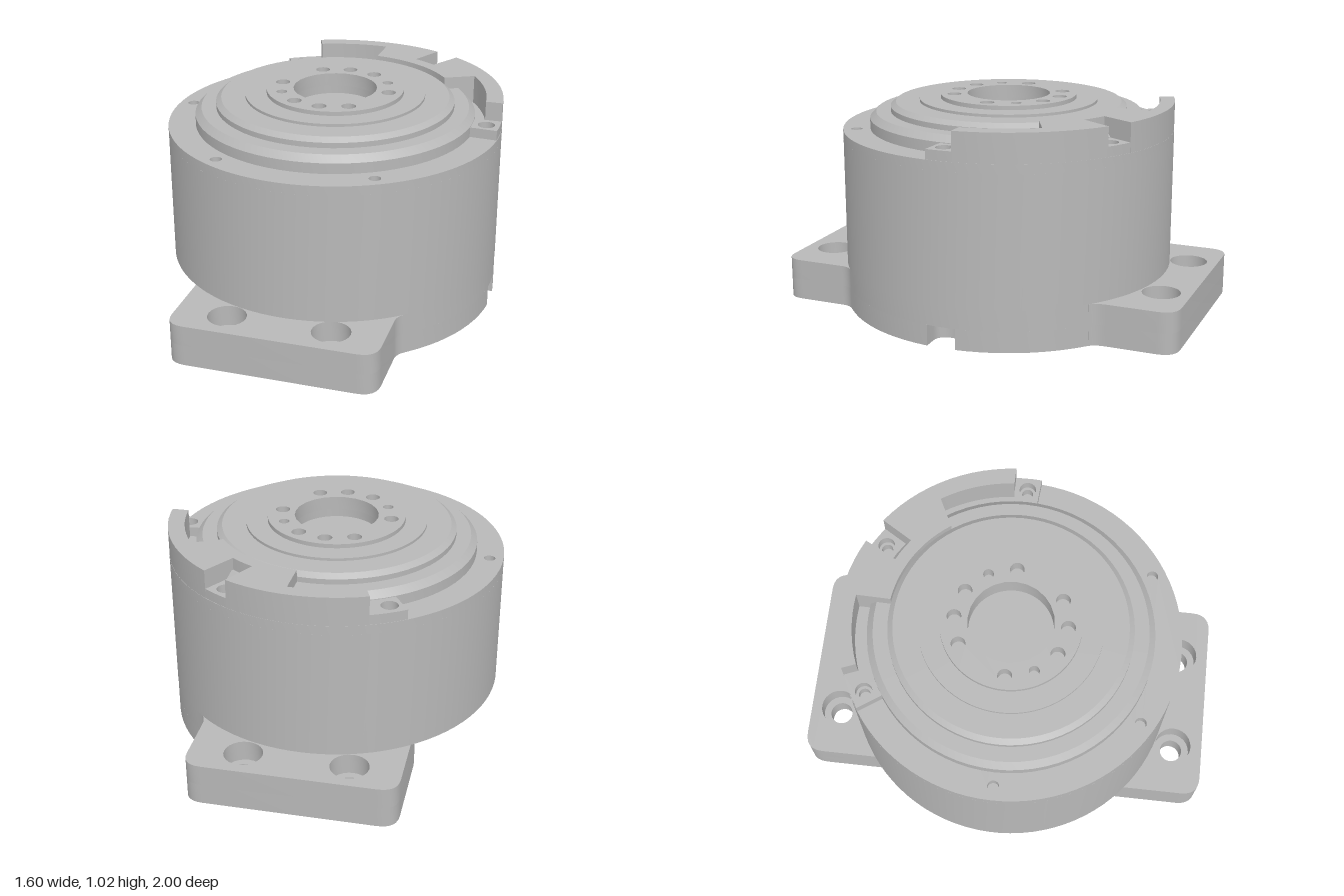
import * as THREE from 'three';
import { toCreasedNormals } from 'three/addons/utils/BufferGeometryUtils.js';

const metal = new THREE.MeshStandardMaterial({ color: 0xb8b8b8 });
metal.name = 'grey metal';

const rad = THREE.MathUtils.degToRad;
const polar = (r, deg) => new THREE.Vector2(r * Math.cos(rad(deg)), r * Math.sin(rad(deg)));

// Points along an arc, in plan (plan y is -z)
function arc(r, from, to) {
  const n = Math.max(2, Math.ceil(Math.abs(to - from) / 4));
  return Array.from({ length: n + 1 }, (_, i) => polar(r, from + ((to - from) * i) / n));
}

// Quarter-like rounded corner from a to b around control point c
function corner(ax, ay, cx, cy, bx, by) {
  return new THREE.QuadraticBezierCurve(
    new THREE.Vector2(ax, ay), new THREE.Vector2(cx, cy), new THREE.Vector2(bx, by)).getPoints(6);
}

// Upright slab from a plan outline, with round holes [x, planY, radius]
function slab(name, outline, y0, y1, holes = []) {
  const shape = new THREE.Shape(outline);
  for (const [x, y, r] of holes) {
    const hole = new THREE.Path();
    hole.absarc(x, y, r, 0, Math.PI * 2, true);
    shape.holes.push(hole);
  }
  const g = new THREE.ExtrudeGeometry(shape, { depth: y1 - y0, bevelEnabled: false, curveSegments: 12 });
  g.rotateX(-Math.PI / 2);
  g.translate(0, y0, 0);
  return solid(name, g);
}

function solid(name, geometry) {
  const mesh = new THREE.Mesh(toCreasedNormals(geometry, rad(25)), metal);
  mesh.name = name;
  return mesh;
}

const circle = (r) => arc(r, 0, 360).slice(0, -1);
const sector = (r0, r1, a, b) => [...arc(r1, a, b), ...arc(r0, b, a)];

// C-shaped foot with a wing at front and back; the +x edge follows the drum
function footOutline(side) {
  return [
    ...side,
    ...corner(0.525, 0.604, 0.5, 0.625, 0.5, 0.68),
    ...corner(0.5, 0.91, 0.5, 1, 0.41, 1),
    ...corner(-0.39, 1, -0.48, 1, -0.48, 0.91),
    ...corner(-0.48, 0.52, -0.48, 0.44, -0.42, 0.42),
    ...arc(0.58, 135, -135),
    ...corner(-0.42, -0.42, -0.5, -0.44, -0.5, -0.52),
    ...corner(-0.5, -0.91, -0.5, -1, -0.41, -1),
    ...corner(0.39, -1, 0.48, -1, 0.48, -0.91),
    ...corner(0.48, -0.68, 0.48, -0.64, 0.515, -0.612),
  ];
}

export function createModel() {
  const model = new THREE.Group();
  model.name = 'rotaryUnit';

  const mounts = [[-0.24, 0.86], [0.25, 0.86], [-0.255, -0.855], [0.235, -0.855]];
  const bolts = [0, 60, 120, 180, 240, 300].map((a) => polar(0.735, a));

  // Foot: lower layer with cable notch and bolt holes, upper layer with counterbores
  const notched = [
    ...arc(0.799, -49, -5),
    ...corner(0.73, -0.07, 0.67, -0.07, 0.67, 0),
    ...corner(0.67, 0, 0.67, 0.07, 0.73, 0.07),
    ...arc(0.799, 5, 49),
  ];
  const underHoles = bolts.filter((b) => Math.abs(b.y) > 0.3).map((b) => [b.x, b.y, 0.055]);
  model.add(slab('footLower', footOutline(notched), 0, 0.1,
    [...mounts.map(([x, y]) => [x, y, 0.055]), ...underHoles]));
  model.add(slab('footUpper', footOutline(arc(0.799, -49, 49)), 0.1, 0.2,
    mounts.map(([x, y]) => [x, y, 0.09])));

  // Round hub inside the foot
  const hub = solid('hub', new THREE.CylinderGeometry(0.58, 0.58, 0.2, 90));
  hub.position.y = 0.11;
  model.add(hub);

  // Drum body and its drilled top
  const drum = solid('drum', new THREE.CylinderGeometry(0.8, 0.8, 0.62, 90));
  drum.position.y = 0.51;
  model.add(drum);
  model.add(slab('drumTop', circle(0.8), 0.82, 0.865, bolts.map((b) => [b.x, b.y, 0.027])));

  // Stepped crown with the bore floor
  const profile = [
    [0.67, 0.86], [0.67, 0.915], [0.64, 0.945], [0.57, 0.945], [0.57, 0.97], [0.545, 0.99],
    [0.43, 0.99], [0.43, 1.003], [0.32, 1.003], [0.32, 0.96], [0.2, 0.96], [0.2, 0.92], [0.001, 0.92],
  ].map(([x, y]) => new THREE.Vector2(x, y));
  model.add(solid('crown', new THREE.LatheGeometry(profile, 72)));

  // Output flange: bore, eight bolt holes and two pin holes
  const flangeHoles = [[0, 0, 0.2]];
  for (const a of [0, 60, 90, 120, 180, 240, 270, 300]) {
    const p = polar(0.263, a);
    flangeHoles.push([p.x, p.y, 0.034]);
  }
  for (const a of [30, 210]) {
    const p = polar(0.26, a);
    flangeHoles.push([p.x, p.y, 0.025]);
  }
  model.add(slab('outputFlange', circle(0.328), 0.96, 1.023, flangeHoles));

  // Raised guard wall with thin ends, a wide middle and a radial slot
  model.add(slab('guardWall', [
    ...arc(0.799, 4.5, 55.3),
    ...arc(0.63, 54.5, 65.5),
    ...arc(0.799, 64.7, 112),
    ...arc(0.73, 112, 85),
    ...arc(0.57, 84, 36),
    ...arc(0.72, 34, 5),
  ], 0.86, 1.003));

  // Counterbored bolt seats: right, slot floor and back
  [[-4.5, 5, 0.67], [54.3, 65.7, 0.62], [112, 124.5, 0.67]].forEach(([a, b, r], i) => {
    const p = bolts[i];
    model.add(slab('boltSeat', sector(r, 0.798, a, b), 0.86, 0.912, [[p.x, p.y, 0.04]]));
  });

  return model;
}
